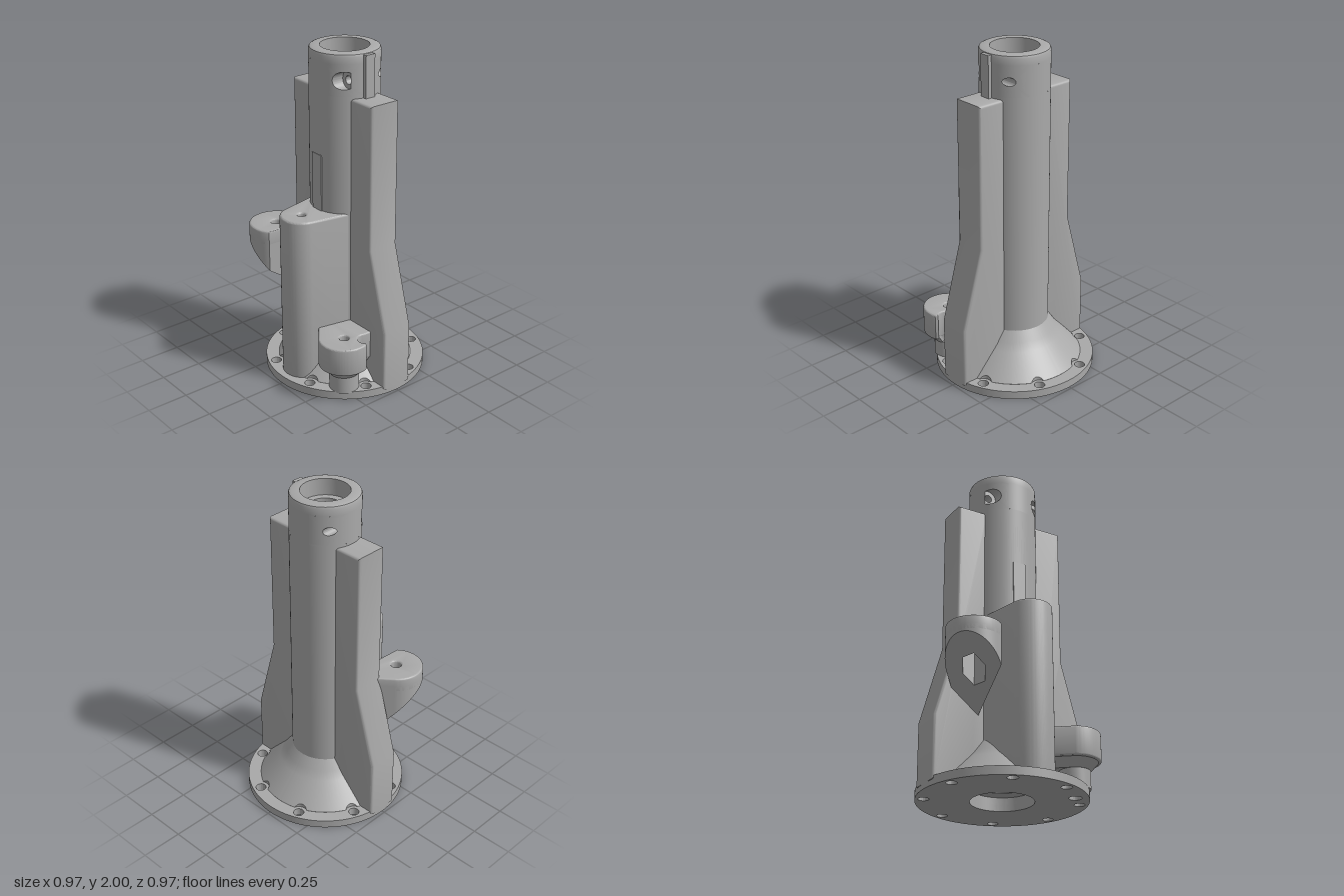
import * as THREE from 'three';
import { toCreasedNormals, mergeGeometries } from 'three/addons/utils/BufferGeometryUtils.js';

const TAU = Math.PI * 2, DEG = Math.PI / 180, R = 0.203;
const crease = (g, a = 32) => toCreasedNormals(g, a * DEG);

// Closed rings of [x, y, z] points, outermost first, joined into a surface
function loft(rings, flip = false) {
  const n = rings[0].length, idx = [];
  for (let i = 0; i < rings.length - 1; i++) for (let j = 0; j < n; j++) {
    const k = (j + 1) % n, a = i * n + j, b = i * n + k, c = a + n, d = b + n;
    if (flip) idx.push(a, c, b, b, c, d); else idx.push(a, b, c, b, d, c);
  }
  const g = new THREE.BufferGeometry();
  g.setAttribute('position', new THREE.Float32BufferAttribute(rings.flat(2), 3));
  g.setIndex(idx);
  return crease(g);
}

function circle(x, y, r, Kind = THREE.Path) {
  return new Kind().absarc(x, y, r, 0, TAU, false);
}

// Plan outline (x, z) extruded between two heights, optionally with rounded edges
function slab(shape, y0, y1, bevel = 0, segments = 24) {
  const g = new THREE.ExtrudeGeometry(shape, {
    depth: y1 - y0 - 2 * bevel, curveSegments: segments, bevelEnabled: bevel > 0,
    bevelSize: bevel, bevelThickness: bevel, bevelOffset: -bevel, bevelSegments: 4,
  });
  return g.rotateX(Math.PI / 2).translate(0, y1 - bevel, 0);
}

// Moves the vertices on the lower end of a slab
function reshapeBottom(g, yMid, rule) {
  const p = g.attributes.position;
  for (let i = 0; i < p.count; i++) if (p.getY(i) < yMid) {
    const [x, y, z] = rule(p.getX(i), p.getZ(i));
    p.setXYZ(i, x, y, z);
  }
  return g;
}

export function createModel() {
  const group = new THREE.Group();
  const metal = new THREE.MeshStandardMaterial({ color: 0xa9a9a9 });
  metal.name = 'castGrey';
  const add = (name, geometry) => {
    const m = new THREE.Mesh(geometry, metal);
    m.name = name;
    group.add(m);
    return m;
  };

  // Base flange with bolt circle
  const post = [0.312, 0.26];
  const bolts = [];
  for (let i = 0; i < 8; i++) {
    const a = (22.5 + 45 * i) * DEG;
    bolts.push([0.434 * Math.cos(a), 0.434 * Math.sin(a)]);
  }
  const disc = circle(0, 0, 0.483, THREE.Shape);
  disc.holes.push(circle(0, 0, 0.18), circle(...post, 0.037));
  bolts.forEach(b => disc.holes.push(circle(...b, 0.031)));
  add('baseFlange', crease(slab(disc, 0, 0.05, 0, 64)));

  // Flared skirt, scalloped around the bolts
  const cuts = bolts.map(b => [...b, 0.05]).concat([[...post, 0.042]]);
  const reach = (cx, cz) => cuts.reduce((m, [x, z, r]) => {
    const p = x * cx + z * cz, q2 = x * x + z * z - p * p;
    return p > 0 && q2 < r * r ? Math.min(m, p - Math.sqrt(r * r - q2)) : m;
  }, 0.405);
  const skirtY = r => (r < 0.26 ? 0.3 - (r - 0.2) * 1.5 : 0.21 - (r - 0.26) * 1.1);
  const skirt = [];
  for (let i = -1; i <= 12; i++) {
    const ring = [];
    for (let j = 0; j < 256; j++) {
      const c = Math.cos(j / 256 * TAU), s = -Math.sin(j / 256 * TAU);
      const r = THREE.MathUtils.lerp(reach(c, s), 0.19, Math.max(i, 0) / 12);
      ring.push([r * c, i < 0 ? 0.045 : skirtY(r), r * s]);
    }
    skirt.push(ring);
  }
  add('flaredSkirt', loft(skirt));

  // Hollow column: lower tube, then rounded rim with stepped bore
  const lathe = pts => crease(new THREE.LatheGeometry(pts.map(p => new THREE.Vector2(...p)), 96));
  const y0 = 1.76, y1 = 1.94, yc = 1.85;
  add('columnTube', lathe([[R, 0.05], [R, y0]]));
  add('columnRimAndBore', lathe([[R, y1], [R, 1.982], [0.198, 1.994], [0.185, 2], [0.14, 2],
    [0.14, 1.9], [0.1, 1.9], [0.1, 0.08], [0.18, 0.08], [0.18, 0.04]]));

  // Band with two cross holes and front counterbores
  const hx = 0.155, mid = Math.asin(hx / R), half = 31 * DEG, N = 64;
  const zAt = x => Math.sqrt(R * R - x * x);
  for (const side of [1, -1]) {
    const ringOf = f => Array.from({ length: N }, (_, j) => {
      const [x, y, z] = f(Math.cos(j / N * TAU), Math.sin(j / N * TAU));
      return [x * side, y, z];
    });
    const bore = (r, max) => (c, s) => [Math.min(hx + r * c, max), yc + r * s];
    // Blends from the tile edge to the hole outline along the cylinder wall
    const wall = (outline, t, face) => ringOf((c, s) => {
      const k = Math.max(Math.abs(c), Math.abs(s)), [x, y] = outline(c, s);
      const a = THREE.MathUtils.lerp(mid + half * c / k, Math.asin(x / R), t);
      const h = THREE.MathUtils.lerp(yc + (y1 - yc) * s / k, y, t);
      return [R * Math.sin(a), h, face * R * Math.cos(a)];
    });
    const big = bore(0.05, zAt(0.1)), small = bore(0.024, 1), steps = [0, 1, 2, 3, 4, 5, 6].map(i => i / 6);
    add(side > 0 ? 'leftCrossHole' : 'rightCrossHole', loft([
      ...steps.map(t => wall(big, t, 1)),
      ringOf((c, s) => [...big(c, s), 0.1]),
      ringOf((c, s) => [...small(c, s), 0.1]),
      ...steps.reverse().map(t => wall(small, t, -1)),
    ], side < 0));
  }
  const lo = mid - half, hi = mid + half;
  const arcs = [[-lo, lo], [hi, Math.PI - hi], [Math.PI - lo, Math.PI + lo], [Math.PI + hi, TAU - hi]];
  add('columnBand', mergeGeometries(arcs.map(([a, b]) =>
    new THREE.CylinderGeometry(R, R, y1 - y0, 16, 1, true, a, b - a).translate(0, (y0 + y1) / 2, 0))));

  // Side ribs
  const ribOutline = [[0.15, 0.1], [0.25, 0.03], [0.483, 0.03], [0.483, 0.4], [0.348, 0.88], [0.348, 1.745], [0.15, 1.745]];
  for (const side of [1, -1]) {
    const pts = ribOutline.map(([x, y]) => new THREE.Vector2(x * side, y));
    const g = new THREE.ExtrudeGeometry(new THREE.Shape(pts), {
      depth: 0.164, bevelSize: 0.018, bevelThickness: 0.018, bevelOffset: -0.018, bevelSegments: 4,
    });
    add(side > 0 ? 'leftRib' : 'rightRib', crease(g.translate(0, 0, -0.082)));
  }

  // Locating key and front pad on the column
  add('locatingKey', new THREE.BoxGeometry(0.04, 0.26, 0.064)).position.set(0.202, 1.86, 0);
  add('frontPad', new THREE.BoxGeometry(0.08, 0.36, 0.01)).position.set(0, 1.22, 0.2);

  // Tall front boss
  const boss = new THREE.Shape().moveTo(0, 0.185).lineTo(-0.172, 0.1);
  boss.absarc(0, 0.317, 0.126, 170 * DEG, 10 * DEG, true).lineTo(0.172, 0.1);
  boss.holes.push(circle(0, 0.317, 0.022));
  add('frontBoss', crease(slab(boss, 0.03, 1.06, 0.014)));

  // High arm on the right, underside sloping at 45 degrees
  const d = [-0.78, 0.626], n = [0.626, 0.78], ac = [-0.327, 0.262], ang = Math.atan2(d[1], d[0]);
  const along = (a, w) => [d[0] * a + n[0] * w, d[1] * a + n[1] * w];
  const armShape = hole => {
    const s = new THREE.Shape().moveTo(...along(0.13, 0.16));
    s.absarc(...ac, 0.16, ang - Math.PI / 2, ang + Math.PI / 2, false).lineTo(...along(0.13, -0.16));
    s.holes.push(hole);
    return s;
  };
  const hex = new THREE.Path(Array.from({ length: 6 }, (_, i) =>
    new THREE.Vector2(ac[0] + 0.07 * Math.cos(i * TAU / 6), ac[1] + 0.07 * Math.sin(i * TAU / 6))));
  add('highArmTop', crease(slab(armShape(circle(...ac, 0.03)), 0.79, 0.885, 0.012)));
  add('highArmWedge', crease(reshapeBottom(slab(armShape(hex), 0.3, 0.83), 0.6,
    (x, z) => [x, 0.21 + x * d[0] + z * d[1], z])));

  // Low boss on the left: notched head, tapered neck and post
  const head = new THREE.Shape().moveTo(0, 0.25);
  head.absarc(...post, 0.15, 120 * DEG, -20 * DEG, true);
  head.absarc(0.4, 0.167, 0.05, 40 * DEG, 200 * DEG, false);
  head.lineTo(0.36, 0.08).lineTo(0.16, 0.08).lineTo(0, 0.2);
  const neck = head.clone();
  head.holes.push(circle(...post, 0.028));
  neck.holes.push(circle(...post, 0.037));
  add('lowBossHead', crease(slab(head, 0.2, 0.37, 0.01)));
  add('lowBossNeck', crease(reshapeBottom(slab(neck, 0.15, 0.22), 0.18, (x, z) => {
    const u = x - post[0], v = z - post[1], k = Math.hypot(u, v) > 0.05 ? 0.59 : 1;
    return [post[0] + u * k, 0.15, post[1] + v * k];
  })));
  const stem = circle(...post, 0.088, THREE.Shape);
  stem.holes.push(circle(...post, 0.037));
  add('lowBossPost', crease(slab(stem, 0.045, 0.155)));

  return group;
}
